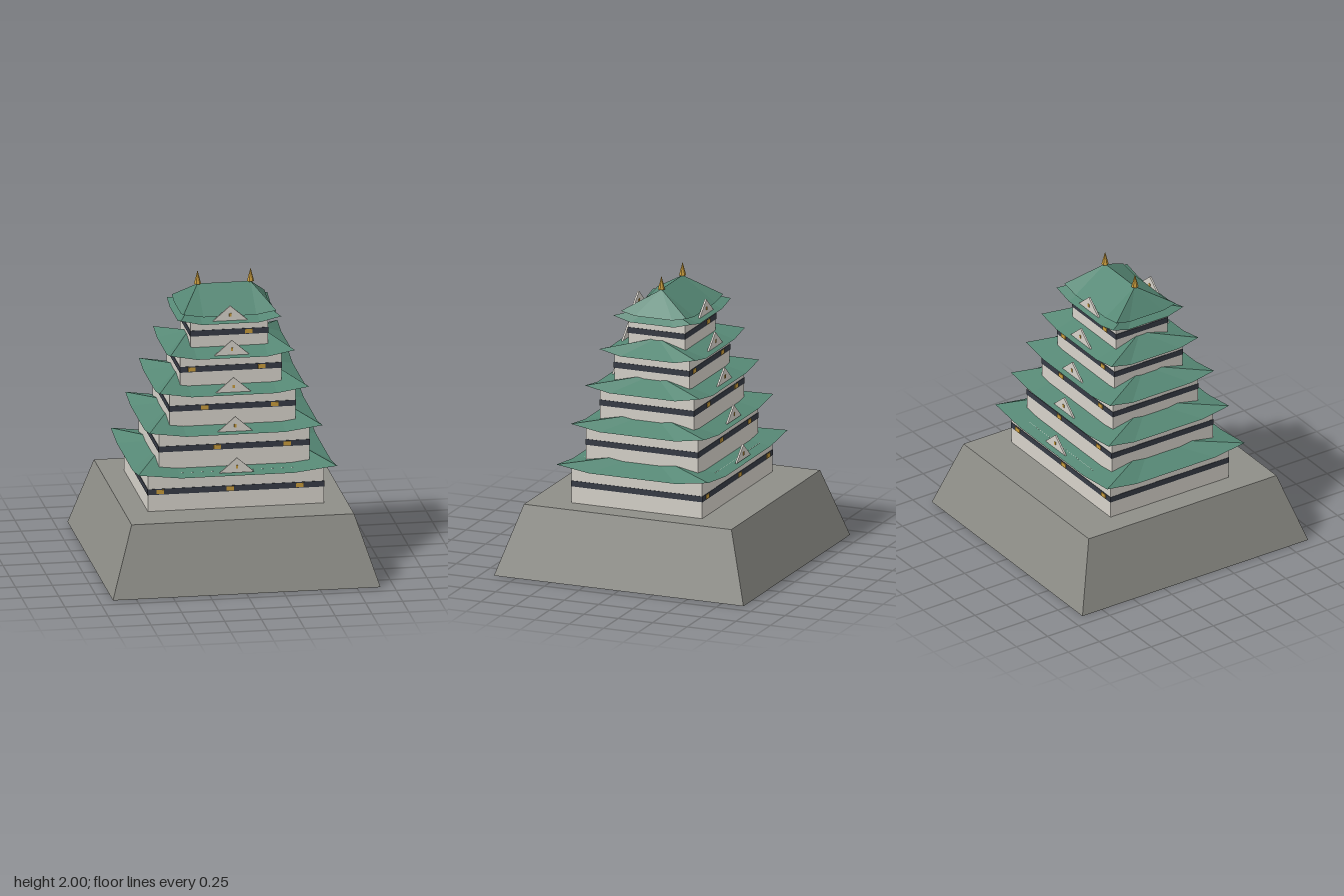
import * as THREE from 'three';

const mat = (name, color, extra = {}) => {
  const m = new THREE.MeshStandardMaterial({ color, ...extra });
  m.name = name;
  return m;
};

// Faceted copy of a geometry
function faceted(geo) {
  const g = geo.index ? geo.toNonIndexed() : geo;
  g.computeVertexNormals();
  return g;
}

// Hipped roof sheet: eave is level in the middle and swept up at the corners
function hipRoof(hx, hz, ridgeX, eaveY, cornerY, ridgeY) {
  const kink = 0.57;
  const corners = [[1, 1], [1, -1], [-1, -1], [-1, 1]];
  const eave = [];
  corners.forEach(([sx, sz], i) => {
    const [nx, nz] = corners[(i + 1) % 4];
    eave.push([sx * hx, cornerY, sz * hz]);
    for (const t of [(1 - kink) / 2, (1 + kink) / 2]) {
      eave.push([(sx + (nx - sx) * t) * hx, eaveY, (sz + (nz - sz) * t) * hz]);
    }
  });
  const ridgeEnd = (p) => [Math.sign(p[0]) * ridgeX, ridgeY, 0];
  const pos = [];
  eave.forEach((p, i) => {
    const q = eave[(i + 1) % eave.length];
    const a = ridgeEnd(p), b = ridgeEnd(q);
    pos.push(...p, ...q, ...a);
    if (a[0] !== b[0]) pos.push(...q, ...b, ...a);
  });
  const g = new THREE.BufferGeometry();
  g.setAttribute('position', new THREE.Float32BufferAttribute(pos, 3));
  g.computeVertexNormals();
  return g;
}

export function createModel() {
  const model = new THREE.Group();
  model.name = 'castleKeep';
  const stone = mat('stone grey', 0x8e8e88);
  const plaster = mat('plaster white', 0xd6d2ca);
  const timber = mat('dark timber', 0x363b45);
  const tile = mat('green roof tile', 0x568875, { side: THREE.DoubleSide });
  const gold = mat('gold', 0xc89b3c);

  const add = (parent, name, geo, material, x = 0, y = 0, z = 0) => {
    const m = new THREE.Mesh(geo, material);
    m.name = name;
    m.position.set(x, y, z);
    parent.add(m);
    return m;
  };
  const box = (w, h, d) => new THREE.BoxGeometry(w, h, d);

  // Battered stone base
  const baseH = 0.475;
  const baseGeo = new THREE.CylinderGeometry(0.755 * Math.SQRT2, 0.908 * Math.SQRT2, baseH, 4);
  baseGeo.rotateY(Math.PI / 4);
  add(model, 'stoneBase', faceted(baseGeo), stone, 0, baseH / 2, 0);

  // Triangular gable plate
  const tri = new THREE.Shape();
  tri.moveTo(-0.118, 0);
  tri.lineTo(0.118, 0);
  tri.lineTo(0, 0.103);
  const gableGeo = new THREE.ExtrudeGeometry(tri, { depth: 0.012, bevelEnabled: false });
  gableGeo.translate(0, 0, -0.006);

  // Storeys: wall half sizes, band height, eave half sizes, eave and corner height, windows
  const storeys = [
    { w: [0.597, 0.475], band: 0.61, e: [0.675, 0.553], y: 0.72, front: [-0.515, -0.04, 0.433], back: [0.515, -0.04, -0.52] },
    { w: [0.511, 0.407], band: 0.885, e: [0.588, 0.485], y: 0.988, front: [-0.115, 0.36], back: [0.115, -0.36] },
    { w: [0.428, 0.342], band: 1.145, e: [0.507, 0.418], y: 1.242, front: [-0.19, 0.285], back: [0.19, -0.285] },
    { w: [0.344, 0.273], band: 1.393, e: [0.422, 0.35], y: 1.481, front: [-0.265, 0.21], back: [0.265, -0.21] },
    { w: [0.262, 0.206], band: 1.622, e: [0.341, 0.283], y: 1.702, front: [0.132], back: [-0.132] },
  ];
  let floor = baseH;
  storeys.forEach(({ w: [wx, wz], band, e: [ex, ez], y, front, back }, i) => {
    const s = new THREE.Group();
    s.name = `storey${i + 1}`;
    model.add(s);

    // Plaster wall with a dark timber band
    const top = y + 0.015;
    add(s, 'wall', box(wx * 2, top - floor, wz * 2), plaster, 0, (top + floor) / 2, 0);
    add(s, 'timberBand', box(wx * 2 + 0.006, 0.04, wz * 2 + 0.006), timber, 0, band, 0);

    // Gold windows on front and back
    for (const [side, xs] of [[1, front], [-1, back]]) {
      for (const x of xs) {
        add(s, 'window', box(0.05, 0.028, 0.008), gold, x, band, side * (wz + 0.004));
      }
    }

    // Roof with swept corners
    add(s, 'roof', hipRoof(ex, ez, ex * 0.57, y, y + 0.034, y + 0.104), tile);

    // Gables standing near the front and back eaves
    for (const side of [1, -1]) {
      const z = side * (ez - 0.038);
      add(s, 'gable', gableGeo, plaster, 0, y + 0.012, z);
      add(s, 'gableOrnament', box(0.015, 0.022, 0.02), gold, 0, y + 0.052, z);
    }
    floor = y;
  });

  // Steep top roof
  add(model, 'topRoof', hipRoof(0.315, 0.238, 0.18, 1.742, 1.765, 1.907), tile);

  // Gold finials at the ridge ends
  const finialGeo = new THREE.ConeGeometry(0.024, 0.093, 6);
  finialGeo.rotateY(Math.PI / 6);
  const finial = faceted(finialGeo);
  for (const side of [1, -1]) add(model, 'finial', finial, gold, side * 0.18, 1.9535, 0);

  return model;
}
